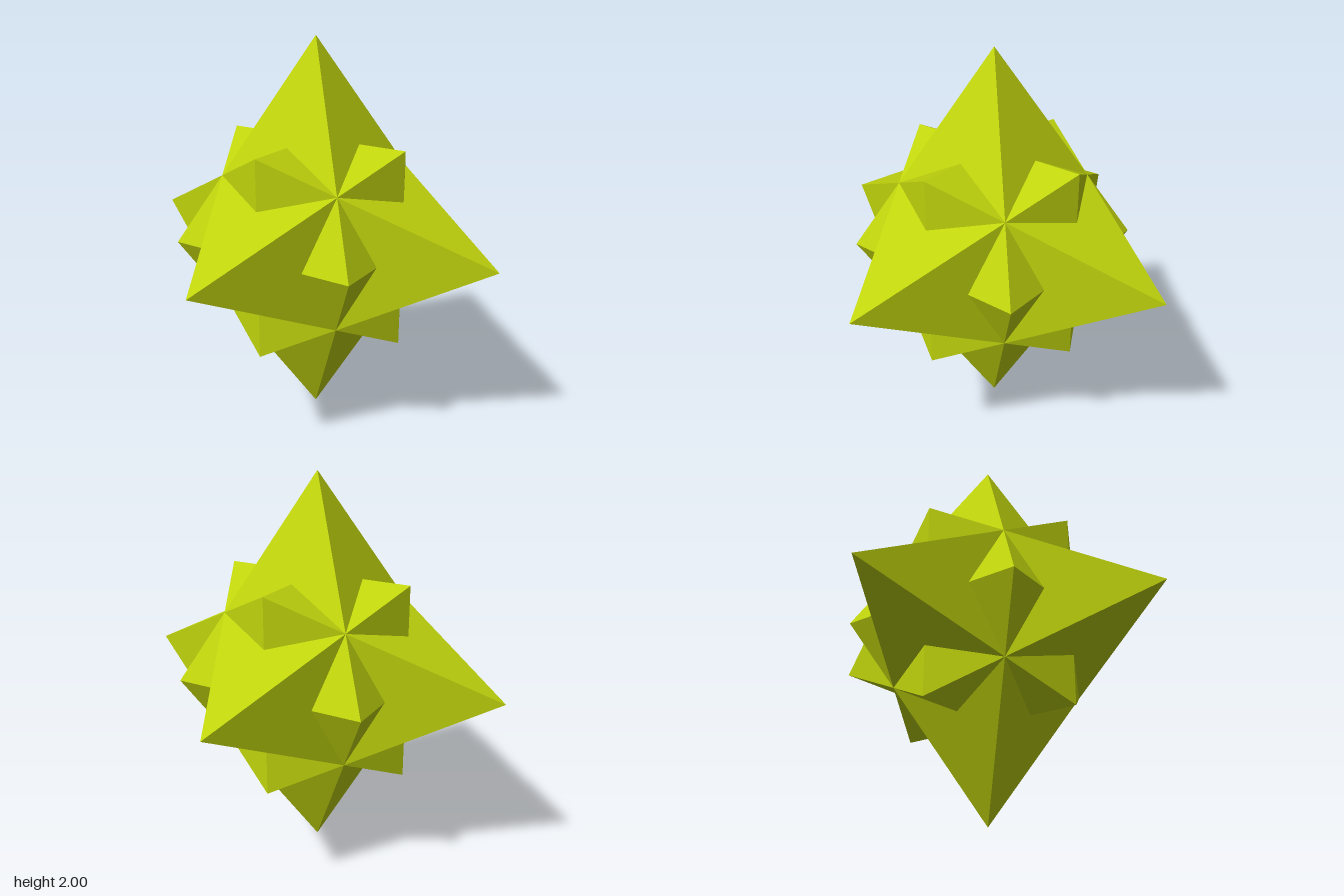
import * as THREE from 'three';

const T = 1 / 3;
const Q = Math.PI / 2;

// Fan of flat triangles from an apex to a closed ring (counter-clockwise from outside)
function spikeGeometry(apex, ring) {
  const points = ring.flatMap((p, i) => [...apex, ...p, ...ring[(i + 1) % ring.length]]);
  const geometry = new THREE.BufferGeometry();
  geometry.setAttribute('position', new THREE.Float32BufferAttribute(points, 3));
  geometry.computeVertexNormals();
  return geometry;
}

export function createModel() {
  const model = new THREE.Group();
  model.name = 'stellatedPolyhedron';
  const star = new THREE.Group();
  star.name = 'star';
  star.position.y = 1;
  model.add(star);

  const material = new THREE.MeshStandardMaterial({ color: 0xc0d40c, flatShading: true });

  // Long four-sided spike along +z, its faces notched where the small spikes meet it
  const longSpike = spikeGeometry([0, 0, 1], [
    [T, T, T], [0, 0.25, 0.5], [-T, T, T], [-0.25, 0, 0.5],
    [-T, -T, T], [0, -0.25, 0.5], [T, -T, T], [0.25, 0, 0.5],
  ]);
  const directions = [[0, 0], [0, Q], [0, 2 * Q], [0, 3 * Q], [Q, 0], [-Q, 0]];
  directions.forEach(([rx, ry], i) => {
    const spike = new THREE.Mesh(longSpike, material);
    spike.name = `longSpike${i + 1}`;
    spike.rotation.set(rx, ry, 0);
    star.add(spike);
  });

  // Short spike between two long ones, four around each axis
  const shortSpike = spikeGeometry([0, 0.5, 0.5], [
    [T, T, T], [0, 0.5, 0.25], [-T, T, T], [0, 0.25, 0.5],
  ]);
  [[0, 0, 0], [0, 0, Q], [0, Q, 0]].forEach((turn, i) => {
    const belt = new THREE.Group();
    belt.name = `shortSpikeBelt${i + 1}`;
    belt.rotation.set(...turn);
    for (let k = 0; k < 4; k++) {
      const spike = new THREE.Mesh(shortSpike, material);
      spike.name = `shortSpike${k + 1}`;
      spike.rotation.x = k * Q;
      belt.add(spike);
    }
    star.add(belt);
  });

  return model;
}
